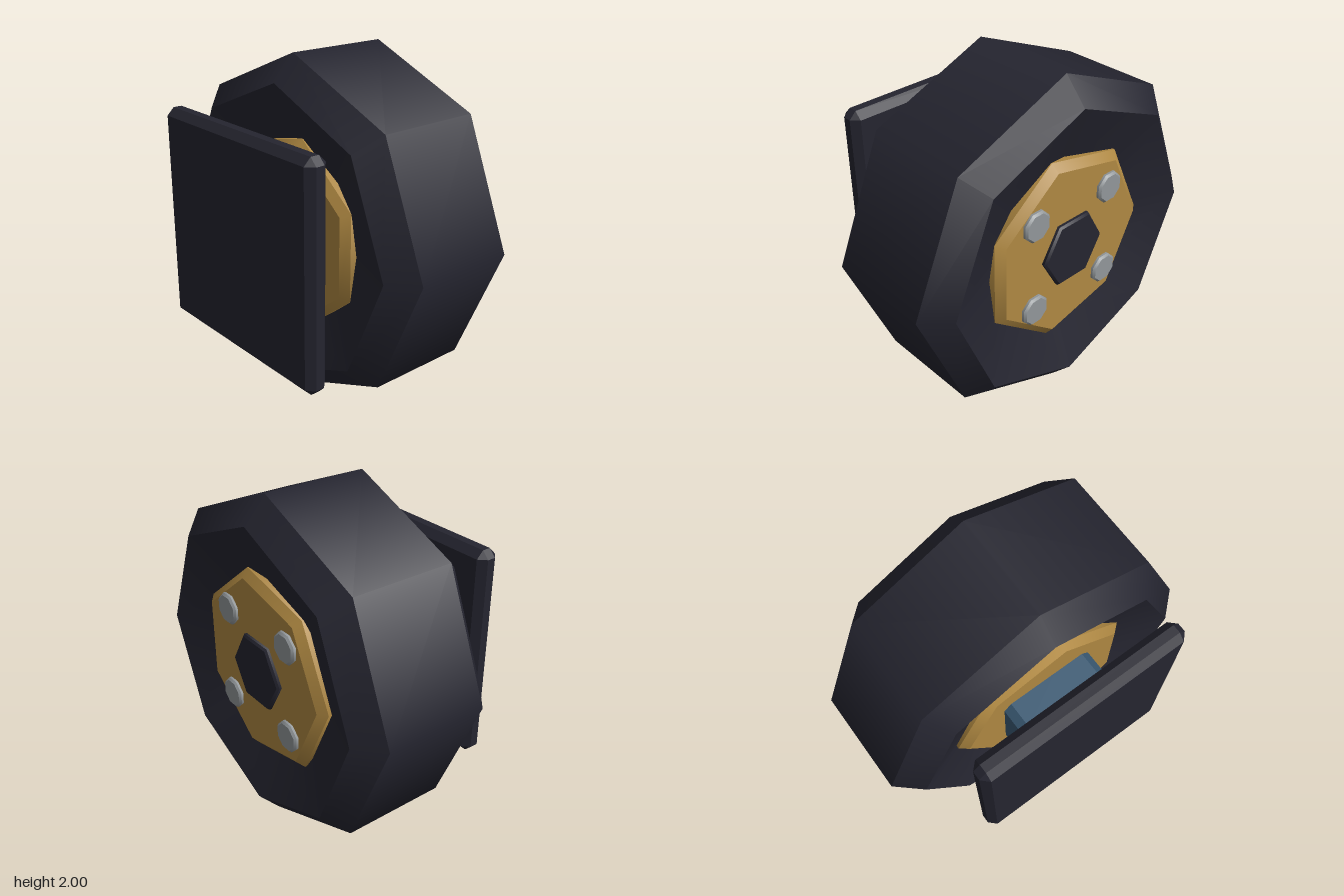
import * as THREE from 'three';
import { mergeGeometries } from 'three/addons/utils/BufferGeometryUtils.js';
import { ConvexGeometry } from 'three/addons/geometries/ConvexGeometry.js';

const mat = (name, color) => Object.assign(new THREE.MeshStandardMaterial({ color }), { name });

// Solid turned about the x axis: smooth around, hard edge at each [radius, x] point
function turned(profile, sides, phase = 0) {
  const bands = [];
  for (let i = 0; i + 1 < profile.length; i++) {
    const pair = [profile[i], profile[i + 1]].map(([r, x]) => new THREE.Vector2(r, x));
    bands.push(new THREE.LatheGeometry(pair, sides, phase));
  }
  return mergeGeometries(bands).rotateZ(-Math.PI / 2);
}

// Completes a half profile [radius, distance] with its mirror image about x = mid
function mirrored(half, mid) {
  return [
    ...half.map(([r, d]) => [r, mid - d]).reverse(),
    ...half.map(([r, d]) => [r, mid + d]),
  ];
}

// Box with all edges chamfered by c
function chamferBox(w, h, d, c) {
  const points = [];
  const [a, b, e] = [w / 2, h / 2, d / 2];
  for (const x of [-1, 1]) for (const y of [-1, 1]) for (const z of [-1, 1]) {
    points.push(
      new THREE.Vector3(x * a, y * (b - c), z * (e - c)),
      new THREE.Vector3(x * (a - c), y * b, z * (e - c)),
      new THREE.Vector3(x * (a - c), y * (b - c), z * e),
    );
  }
  return new ConvexGeometry(points);
}

export function createModel() {
  const group = new THREE.Group();
  const rubber = mat('dark rubber', 0x252530);
  const gold = mat('gold', 0xb08942);
  const steel = mat('steel', 0x92979a);
  const blue = mat('axle blue', 0x3a5a74);

  const add = (name, geometry, material, x, y, z) => {
    const mesh = new THREE.Mesh(geometry, material);
    mesh.name = name;
    mesh.position.set(x, y, z);
    group.add(mesh);
  };

  const mid = 0.145;

  // Octagonal tyre with bevelled shoulders and dished sides
  const tyre = mirrored([[1, 0.31], [0.855, 0.44], [0.5, 0.305], [0, 0.305]], mid);
  add('tyre', turned(tyre, 8), rubber, 0, 1, 0);

  // Seven-sided rim showing on both sides
  const rim = mirrored([[0.58, 0.355], [0.53, 0.395], [0, 0.395]], mid);
  add('rim', turned(rim, 7, Math.PI), gold, 0, 1, 0);

  // Six-sided hub cap
  add('hubCap', turned([[0.22, 0.5], [0.22, 0.555], [0.208, 0.567], [0, 0.567]], 6), rubber, 0, 1, 0);

  // Four wheel bolts
  const bolt = turned([[0.093, 0.5], [0.093, 0.553], [0.081, 0.565], [0, 0.565]], 8, Math.PI / 8);
  for (const y of [-1, 1]) for (const z of [-1, 1]) {
    add('wheelBolt', bolt, steel, 0, 1 + y * 0.275, z * 0.275);
  }

  // Square axle block and mounting plate behind the wheel
  add('axleBlock', chamferBox(0.355, 0.57, 0.57, 0.045), blue, -0.2775, 1.003, 0);
  add('mountingPlate', chamferBox(0.135, 1.295, 1.295, 0.042), rubber, -0.5225, 1.003, 0);

  return group;
}
